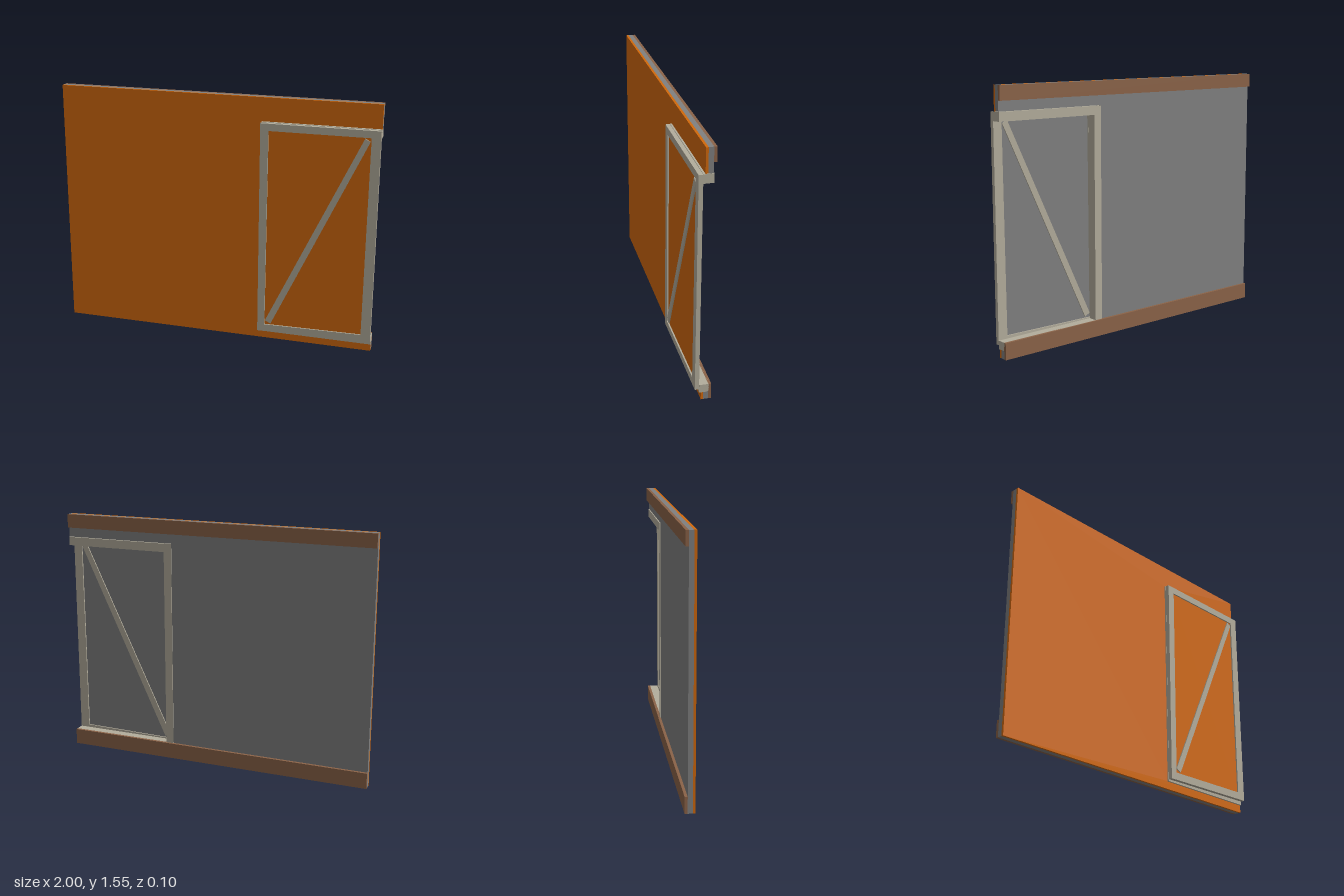
import * as THREE from 'three';

const flat = (name, color) => {
  const m = new THREE.MeshStandardMaterial({ color });
  m.name = name;
  return m;
};

export function createModel() {
  const group = new THREE.Group();
  const orange = flat('orange cladding', 0xd2690c);
  const grey = flat('grey lining', 0x808080);
  const beige = flat('beige timber', 0xb3ad9c);
  const brown = flat('brown timber', 0x8b6348);

  const add = (name, geometry, material) => {
    const mesh = new THREE.Mesh(geometry, material);
    mesh.name = name;
    group.add(mesh);
    return mesh;
  };
  // Box given by its lower and upper limits
  const box = (name, mat, x0, x1, y0, y1, z0, z1) =>
    add(name, new THREE.BoxGeometry(x1 - x0, y1 - y0, z1 - z0), mat)
      .position.set((x0 + x1) / 2, (y0 + y1) / 2, (z0 + z1) / 2);
  // Upright plate cut to an outline, with an optional hole
  const plate = (name, mat, outline, z0, z1, hole) => {
    const points = (list) => list.map(([x, y]) => new THREE.Vector2(x, y));
    const shape = new THREE.Shape(points(outline));
    if (hole) shape.holes.push(new THREE.Path(points(hole)));
    const geo = new THREE.ExtrudeGeometry(shape, { depth: z1 - z0, bevelEnabled: false });
    add(name, geo.translate(0, 0, z0), mat);
  };

  const H = 1.555;
  // Wall layers, notched at the right-hand end for the doorway
  const wall = [[-1, 0], [1, 0], [1, 0.05], [0.285, 0.05], [0.285, 1.41], [1, 1.41], [1, H], [-1, H]];
  plate('wallCladding', orange, wall, -0.002, 0.012);
  plate('wallLining', grey, wall, -0.031, -0.002);

  // Rails along the back
  box('topRail', brown, -1, 1, 1.47, H, -0.048, -0.031);
  box('bottomRail', brown, -1, 1, 0, 0.1, -0.048, -0.031);

  // Door casing: lintel, sill and one post
  box('lintel', beige, 0.285, 1, 1.355, 1.408, -0.036, 0.022);
  box('sill', beige, 0.285, 1, 0.048, 0.1, -0.036, 0.022);
  box('casingPost', beige, 0.285, 0.335, 0.1, 1.355, -0.036, 0.022);

  // Door leaf: frame, thin two-sided panel and diagonal brace
  const opening = [[0.33, 0.107], [0.335, 1.362], [0.945, 1.362], [0.94, 0.117]];
  plate('doorFrame', beige, [[0.285, 0.06], [1, 0.072], [1, 1.406], [0.285, 1.406]], 0.023, 0.048, opening);
  plate('doorPanelFront', orange, opening, 0.035, 0.039);
  plate('doorPanelBack', grey, opening, 0.031, 0.035);
  plate('doorBrace', beige, [[0.334, 0.135], [0.37, 0.117], [0.94, 1.338], [0.908, 1.356]], 0.024, 0.047);

  return group;
}
